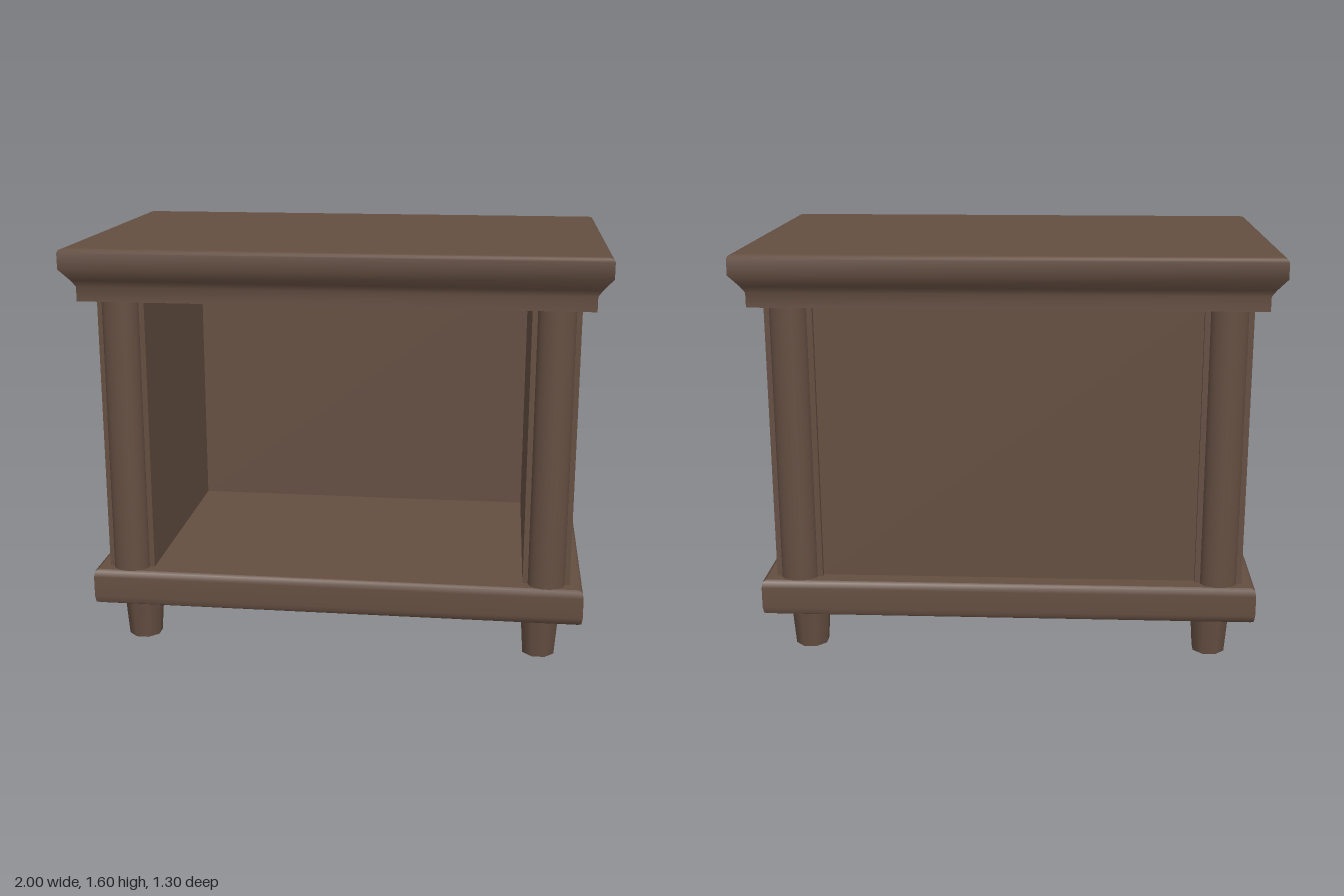
import * as THREE from 'three';

const wood = new THREE.MeshStandardMaterial({ color: 0x644e41 });
wood.name = 'dark brown wood';

// Rectangular slab with a moulded edge: profile is [halfX, halfZ, y] from bottom to top,
// smooth along the moulding, sharp at the mitred corners.
function mouldedSlab(profile) {
  const corners = [[-1, 1], [1, 1], [1, -1], [-1, -1]];
  const pos = [], index = [];
  const put = ([hx, hz, y], [sx, sz]) => pos.push(hx * sx, y, hz * sz);
  corners.forEach((a, i) => {
    const b = corners[(i + 1) % 4];
    const start = pos.length / 3;
    profile.forEach((p, j) => {
      put(p, a);
      put(p, b);
      if (j > 0) {
        const k = start + j * 2;
        index.push(k - 2, k - 1, k + 1, k - 2, k + 1, k);
      }
    });
  });
  // Flat caps
  const bottom = pos.length / 3;
  corners.forEach(c => put(profile[0], c));
  index.push(bottom, bottom + 2, bottom + 1, bottom, bottom + 3, bottom + 2);
  const top = pos.length / 3;
  corners.forEach(c => put(profile[profile.length - 1], c));
  index.push(top, top + 1, top + 2, top, top + 2, top + 3);
  const g = new THREE.BufferGeometry();
  g.setAttribute('position', new THREE.Float32BufferAttribute(pos, 3));
  g.setIndex(index);
  g.computeVertexNormals();
  return g;
}

export function createModel() {
  const model = new THREE.Group();
  model.name = 'cabinet';
  const add = (name, geometry, x = 0, y = 0, z = 0) => {
    const mesh = new THREE.Mesh(geometry, wood);
    mesh.name = name;
    mesh.position.set(x, y, z);
    model.add(mesh);
    return mesh;
  };

  // Moulded top
  add('top', mouldedSlab([
    [0.95, 0.60, 1.40], [0.95, 0.60, 1.455], [0.965, 0.615, 1.48], [1.0, 0.65, 1.525],
    [1.0, 0.65, 1.585], [0.995, 0.645, 1.595], [0.98, 0.63, 1.60],
  ]));

  // Base plinth, set slightly to the back
  add('base', mouldedSlab([
    [0.94, 0.555, 0.178], [0.952, 0.567, 0.185], [0.956, 0.571, 0.21],
    [0.956, 0.571, 0.29], [0.952, 0.567, 0.313], [0.94, 0.555, 0.32],
  ]), 0, 0, -0.009);

  // Back panel of the open compartment
  add('backPanel', new THREE.BoxGeometry(1.45, 1.08, 0.04), 0, 0.86, -0.48);

  const pillar = new THREE.CylinderGeometry(1, 1, 1.08, 24, 1, true);
  pillar.scale(0.07, 1, 0.055);
  const foot = new THREE.CylinderGeometry(0.08, 0.066, 0.18, 8);
  foot.rotateY(Math.PI / 8);

  for (const side of [-1, 1]) {
    // Thick side walls with rounded pilasters at both ends
    add('sideWall', new THREE.BoxGeometry(0.18, 1.08, 1.02), side * 0.815, 0.86, -0.01);
    add('frontPilaster', pillar, side * 0.815, 0.86, 0.50);
    add('backPilaster', pillar, side * 0.815, 0.86, -0.515);
    // Tapered feet
    add('frontFoot', foot, side * 0.797, 0.09, 0.407);
    add('backFoot', foot, side * 0.797, 0.09, -0.418);
  }
  return model;
}
